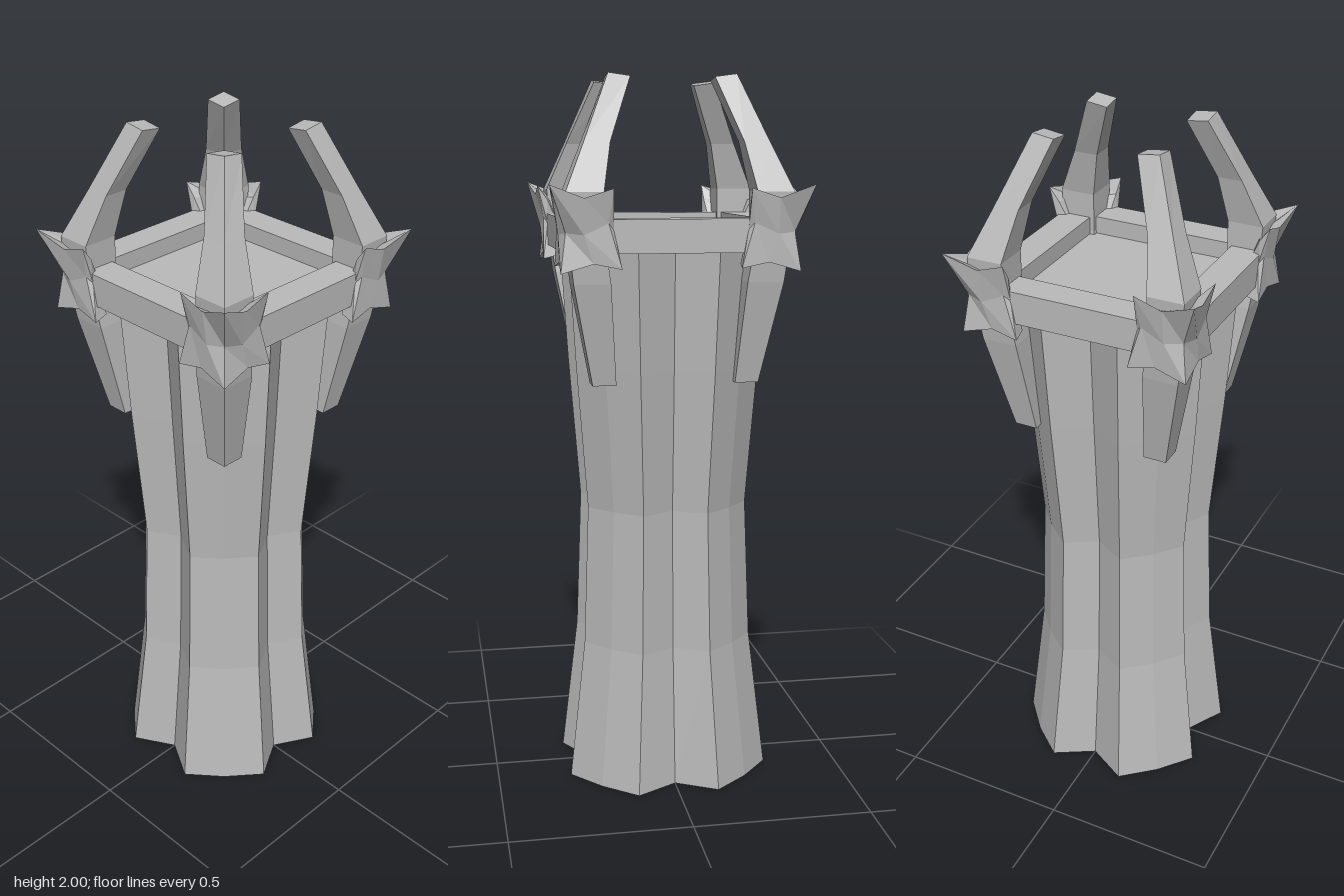
import * as THREE from 'three';

const stone = new THREE.MeshStandardMaterial({ color: 0xbababa, flatShading: true });
stone.name = 'grey stone';

// Skin a list of equal-length rings of [x, y, z] points and close both ends.
function loft(rings) {
  const pos = [];
  const tri = (...pts) => pts.forEach((p) => pos.push(...p));
  const n = rings[0].length;
  for (let r = 0; r < rings.length - 1; r++) {
    for (let i = 0; i < n; i++) {
      const j = (i + 1) % n;
      const a = rings[r], b = rings[r + 1];
      tri(a[i], a[j], b[j]);
      tri(a[i], b[j], b[i]);
    }
  }
  const centre = (ring) => [0, 1, 2].map((k) => ring.reduce((s, p) => s + p[k], 0) / n);
  const first = rings[0], last = rings[rings.length - 1];
  const c0 = centre(first), c1 = centre(last);
  for (let i = 0; i < n; i++) {
    const j = (i + 1) % n;
    tri(c0, first[j], first[i]);
    tri(c1, last[i], last[j]);
  }
  const geo = new THREE.BufferGeometry();
  geo.setAttribute('position', new THREE.Float32BufferAttribute(pos, 3));
  geo.computeVertexNormals();
  return geo;
}

function part(name, geo, parent) {
  const mesh = new THREE.Mesh(geo, stone);
  mesh.name = name;
  parent.add(mesh);
  return mesh;
}

// Four-lobed column: one groove at the middle of each side, waisted in the middle.
function columnGeometry() {
  const quarter = [[0.225, 0], [0.29, -0.115], [0.21, -0.21], [0.115, -0.29]];
  const outline = [];
  for (let k = 0; k < 4; k++) {
    for (const [x, z] of quarter) {
      let p = [x, z];
      for (let t = 0; t < k; t++) p = [p[1], -p[0]];
      outline.push(p);
    }
  }
  const levels = [[0, 1], [0.4, 0.84], [0.8, 0.79], [1.2, 0.895], [1.56, 0.97]];
  return loft(levels.map(([y, s]) => outline.map(([x, z]) => [x * s, y, z * s])));
}

// Square-section claw, bending outwards through the collar and in at the tip.
function clawGeometry() {
  const levels = [ // y, inner, outer
    [1.17, 0.165, 0.23], [1.45, 0.185, 0.285], [1.58, 0.205, 0.3],
    [1.69, 0.205, 0.306], [1.82, 0.18, 0.25], [1.992, 0.115, 0.175],
  ];
  return loft(levels.map(([y, i, o], k) => {
    const tilt = k === levels.length - 1 ? 0.008 : 0;
    return [[i, y, o], [o, y + tilt, o], [o, y, i], [i, y - tilt, i]];
  }));
}

// Pointed collar wrapped around a corner, pinched at mid height.
function collarGeometry() {
  // Each section: outer top, middle, bottom, then inner bottom, middle, top.
  const end = [
    [0.183, 1.70, 0.335], [0.195, 1.61, 0.318], [0.16, 1.49, 0.322],
    [0.165, 1.50, 0.28], [0.195, 1.60, 0.28], [0.185, 1.66, 0.306],
  ];
  const side = [
    [0.26, 1.675, 0.335], [0.26, 1.58, 0.322], [0.235, 1.505, 0.318],
    [0.23, 1.52, 0.26], [0.25, 1.59, 0.26], [0.25, 1.65, 0.28],
  ];
  const corner = [
    [0.352, 1.71, 0.352], [0.307, 1.585, 0.307], [0.322, 1.48, 0.322],
    [0.25, 1.51, 0.25], [0.26, 1.59, 0.26], [0.28, 1.65, 0.28],
  ];
  const swap = (ring) => ring.map(([x, y, z]) => [z, y, x]);
  return loft([end, side, corner, swap(side), swap(end)]);
}

// Square frame with an open middle.
function frameGeometry() {
  const square = (path, h) =>
    path.moveTo(-h, -h).lineTo(h, -h).lineTo(h, h).lineTo(-h, h).lineTo(-h, -h);
  const shape = new THREE.Shape();
  square(shape, 0.308);
  const hole = new THREE.Path();
  square(hole, 0.218);
  shape.holes.push(hole);
  const geo = new THREE.ExtrudeGeometry(shape, { depth: 0.09, bevelEnabled: false });
  return geo.rotateX(-Math.PI / 2).translate(0, 1.53, 0);
}

export function createModel() {
  const model = new THREE.Group();
  model.name = 'clawedPedestal';

  part('column', columnGeometry(), model);
  part('topFrame', frameGeometry(), model);
  part('recessedFloor', new THREE.BoxGeometry(0.45, 0.03, 0.45), model).position.y = 1.555;

  // Claw and collar on each corner
  const claw = clawGeometry();
  const collar = collarGeometry();
  for (let k = 0; k < 4; k++) {
    const group = new THREE.Group();
    group.name = 'cornerClaw' + (k + 1);
    group.rotation.y = (k * Math.PI) / 2;
    part('claw', claw, group);
    part('collar', collar, group);
    model.add(group);
  }
  return model;
}
